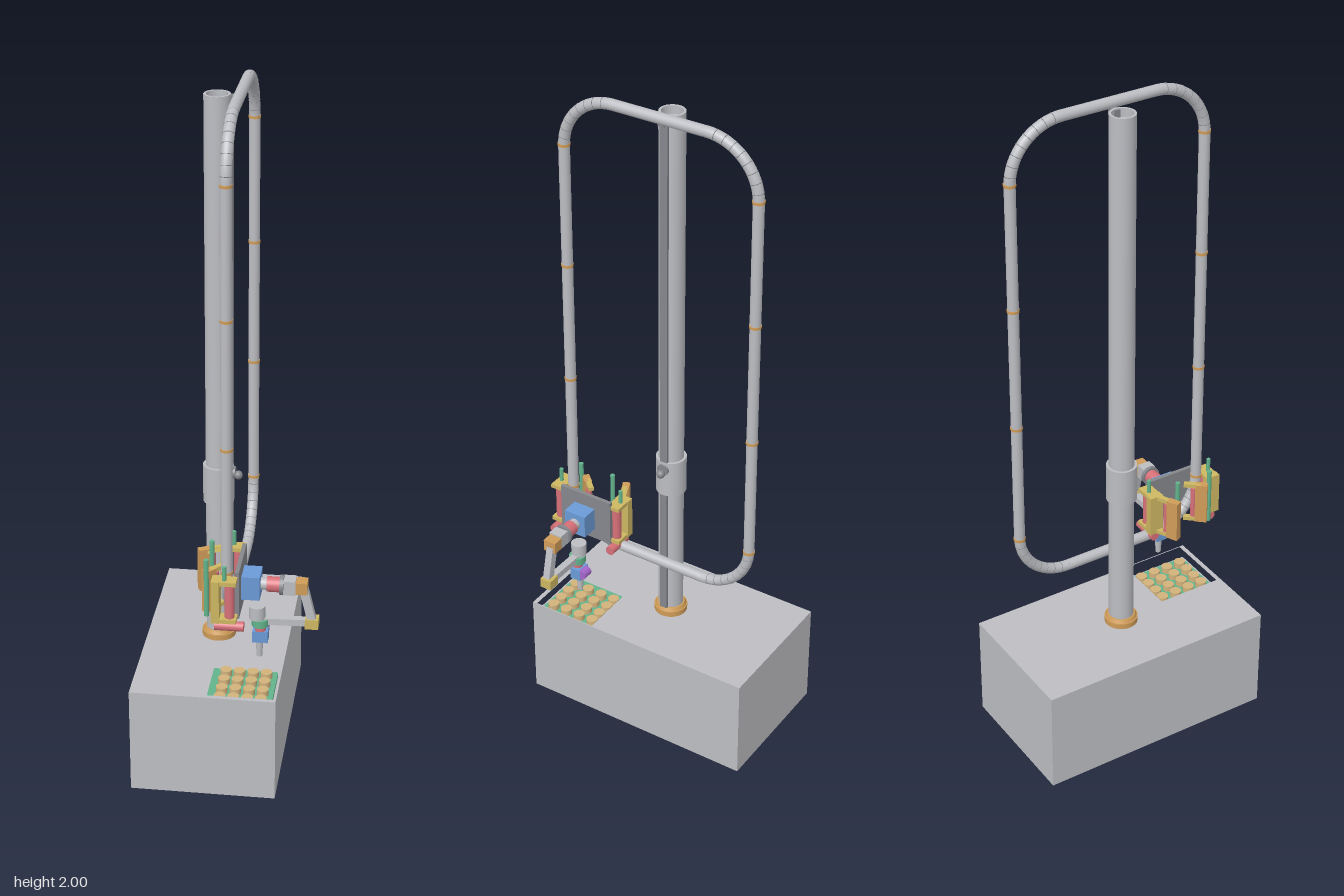
import * as THREE from 'three';

const mat = (name, color) => {
  const m = new THREE.MeshStandardMaterial({ color });
  m.name = name;
  return m;
};

export function createModel() {
  const root = new THREE.Group();
  root.name = 'inspectionRig';
  const steel = mat('steel', 0xbcbdc2), tankGrey = mat('tank grey', 0xbdbec2);
  const dark = mat('dark grey', 0x85878c), orange = mat('orange', 0xcf9c58);
  const yellow = mat('yellow', 0xcdb762), red = mat('red', 0xd67078);
  const blue = mat('blue', 0x6b9ad6), green = mat('green', 0x62b38c);
  const purple = mat('purple', 0xa566cc), tan = mat('tan', 0xd2b27c);

  const add = (name, geo, m, x, y, z, parent = root) => {
    const mesh = new THREE.Mesh(geo, m);
    mesh.name = name;
    mesh.position.set(x, y, z);
    parent.add(mesh);
    return mesh;
  };
  // box given by its minimum and maximum corners
  const box = (name, m, x0, x1, y0, y1, z0, z1) =>
    add(name, new THREE.BoxGeometry(x1 - x0, y1 - y0, z1 - z0), m, (x0 + x1) / 2, (y0 + y1) / 2, (z0 + z1) / 2);
  // upright cylinder, and cylinder lying along x
  const post = (name, m, r, x, y0, y1, z, r2 = r) =>
    add(name, new THREE.CylinderGeometry(r2, r, y1 - y0, 28), m, x, (y0 + y1) / 2, z);
  const axle = (name, m, r, x0, x1, y, z) =>
    add(name, new THREE.CylinderGeometry(r, r, x1 - x0, 28).rotateZ(Math.PI / 2), m, (x0 + x1) / 2, y, z);
  // bar between two points
  const bar = (name, m, a, b, w, d) => {
    const p = new THREE.Vector3(...a), q = new THREE.Vector3(...b);
    const c = p.clone().add(q).multiplyScalar(0.5), dir = q.clone().sub(p);
    const mesh = add(name, new THREE.BoxGeometry(w, dir.length(), d), m, c.x, c.y, c.z);
    mesh.quaternion.setFromUnitVectors(new THREE.Vector3(0, 1, 0), dir.normalize());
  };

  // Tank with a rectangular well in its lid
  box('tankBody', tankGrey, -0.265, 0.155, 0, 0.28, -0.37, 0.365);
  const rect = (P, x0, x1, z0, z1) => {
    const s = new P();
    s.moveTo(x0, -z0); s.lineTo(x1, -z0); s.lineTo(x1, -z1); s.lineTo(x0, -z1); s.closePath();
    return s;
  };
  const lid = rect(THREE.Shape, -0.265, 0.155, -0.37, 0.365);
  lid.holes.push(rect(THREE.Path, -0.05, 0.152, 0.15, 0.351));
  add('tankLid', new THREE.ExtrudeGeometry(lid, { depth: 0.045, bevelEnabled: false }).rotateX(-Math.PI / 2), tankGrey, 0, 0.28, 0);

  // Sample tray with rows of round pieces
  box('tray', green, -0.05, 0.139, 0.28, 0.292, 0.15, 0.351);
  for (const x of [-0.01, 0.029, 0.069, 0.108])
    for (const z of [0.18, 0.227, 0.274, 0.321]) post('trayDisc', tan, 0.017, x, 0.29, 0.31, z);

  // Hollow mast with collar, sleeve, guide rail and clamp knob
  const PX = -0.055;
  const mast = [[0.037, 0.325], [0.037, 1.98], [0.03, 1.98], [0.03, 1.955], [0.017, 1.955], [0.017, 1.93], [0, 1.93]];
  const pts = [];
  mast.forEach(([r, y], i) => {
    pts.push(new THREE.Vector2(r, y));
    if (i > 0 && i < mast.length - 1) pts.push(new THREE.Vector2(r, y)); // hard edges
  });
  add('mast', new THREE.LatheGeometry(pts, 36), steel, PX, 0, 0);
  post('mastCollar', orange, 0.05, PX, 0.325, 0.342, 0);
  post('mastCollarTop', orange, 0.047, PX, 0.342, 0.352, 0, 0.042);
  post('mastSleeve', steel, 0.045, PX, 0.77, 0.885, 0);
  box('guideRail', dark, -0.024, -0.012, 0.352, 1.97, -0.012, 0.012);
  axle('clampBoss', dark, 0.018, -0.02, -0.006, 0.86, 0);
  axle('clampStem', dark, 0.009, -0.01, 0.006, 0.852, 0);
  add('clampBall', new THREE.SphereGeometry(0.013, 16, 12), dark, 0.002, 0.852, 0);
  box('topBracket', dark, -0.03, 0.002, 1.955, 1.978, -0.009, 0.009);

  // Closed tube loop with rounded corners
  const TX = 0.009, R = 0.16, HZ = 0.305, Y0 = 0.545, Y1 = 1.984, TR = 0.016;
  const loop = new THREE.CurvePath();
  const corner = (z, y, a0) => {
    const at = (t) => new THREE.Vector3(TX, y + R * Math.sin(a0 + t * Math.PI / 2), z + R * Math.cos(a0 + t * Math.PI / 2));
    const c = new THREE.Curve();
    c.getPoint = (t, target = new THREE.Vector3()) => target.copy(at(t));
    return c;
  };
  const arcs = [
    corner(HZ - R, Y1 - R, 0), corner(-HZ + R, Y1 - R, Math.PI / 2),
    corner(-HZ + R, Y0 + R, Math.PI), corner(HZ - R, Y0 + R, Math.PI * 1.5)];
  arcs.forEach((arc, i) => {
    add('loopCorner', new THREE.TubeGeometry(arc, 16, TR, 18, false), steel, 0, 0, 0);
    const next = arcs[(i + 1) % 4];
    const line = new THREE.LineCurve3(arc.getPoint(1), next.getPoint(0));
    add('loopTube', new THREE.TubeGeometry(line, 1, TR, 18, false), steel, 0, 0, 0);
    // thin joint ribs along the bends
    for (let k = 1; k < 9; k++) {
      const p = arc.getPoint(k / 9), rib = add('loopRib', new THREE.TorusGeometry(TR - 0.0006, 0.0012, 6, 20), dark, p.x, p.y, p.z);
      rib.lookAt(p.clone().add(arc.getTangent(k / 9)));
    }
  });
  for (const z of [-HZ, HZ])
    for (const y of [0.702, 1.08, 1.455, 1.828]) post('loopBand', orange, TR + 0.0015, TX, y - 0.004, y + 0.004, z);

  // Crawler carriage: back plate and two clamp units
  box('carriagePlate', dark, 0.034, 0.046, 0.565, 0.712, 0.15, 0.325);
  for (const [z, s] of [[0.142, -1], [0.344, 1]]) {
    box('clampTop', yellow, -0.028, 0.042, 0.688, 0.7, z - 0.02, z + 0.02);
    box('clampBottom', yellow, -0.028, 0.042, 0.57, 0.582, z - 0.02, z + 0.02);
    box('clampBack', yellow, -0.028, -0.005, 0.57, 0.7, z - 0.022, z + 0.022);
    post('driveRoller', red, 0.014, 0.022, 0.582, 0.688, z);
    axle('driveMotor', red, 0.014, -0.02, 0.062, 0.553, z);
    post('hingePin', green, 0.006, 0.008, 0.7, 0.742, z + s * 0.005);
  }
  // Swinging jaws on the far side of the tube
  for (const [x, z, turn] of [[-0.072, 0.172, 0.45], [-0.042, 0.292, 0.85]]) {
    const jaw = new THREE.Group();
    jaw.name = 'jaw';
    jaw.position.set(x, 0.635, z);
    jaw.rotation.y = turn;
    root.add(jaw);
    add('jawBody', new THREE.BoxGeometry(0.036, 0.13, 0.022), orange, 0, 0, 0, jaw);
    for (const y of [-0.059, 0.059]) add('jawArm', new THREE.BoxGeometry(0.05, 0.012, 0.016), yellow, 0.028, y, 0, jaw);
    add('jawRoller', new THREE.CylinderGeometry(0.009, 0.009, 0.1, 18), red, 0.024, 0, 0, jaw);
  }
  for (const z of [0.202, 0.315]) post('jawPin', green, 0.007, -0.047, 0.565, 0.742, z);
  bar('jawLink', yellow, [-0.065, 0.69, 0.175], [-0.01, 0.69, 0.145], 0.012, 0.014);

  // Shoulder stack reaching out sideways
  box('shoulderMotor', blue, 0.046, 0.098, 0.6, 0.672, 0.205, 0.276);
  axle('shoulderShaft', steel, 0.018, 0.098, 0.116, 0.637, 0.24);
  axle('shoulderJoint', red, 0.022, 0.115, 0.154, 0.636, 0.24);
  axle('shoulderFlange', dark, 0.029, 0.152, 0.163, 0.636, 0.24);
  box('upperArm', steel, 0.163, 0.197, 0.615, 0.658, 0.22, 0.262);
  box('elbowJoint', orange, 0.197, 0.23, 0.617, 0.653, 0.219, 0.259);

  // Folded forearm and wrist
  bar('forearm', steel, [0.214, 0.648, 0.238], [0.245, 0.52, 0.238], 0.024, 0.022);
  box('wristJoint', yellow, 0.224, 0.262, 0.504, 0.534, 0.217, 0.253);
  bar('lowerArm', steel, [0.09, 0.516, 0.236], [0.23, 0.52, 0.236], 0.02, 0.022);
  post('wristCap', green, 0.025, 0.096, 0.5, 0.522, 0.236);
  post('wristMotor', steel, 0.023, 0.087, 0.522, 0.562, 0.236);
  post('wristNeck', red, 0.016, 0.096, 0.484, 0.5, 0.236);

  // Tool head
  box('toolBody', blue, 0.074, 0.118, 0.446, 0.482, 0.213, 0.247);
  axle('toolSensor', purple, 0.015, 0.085, 0.117, 0.469, 0.209);
  post('toolNozzle', steel, 0.008, 0.093, 0.395, 0.447, 0.23, 0.011);
  return root;
}
